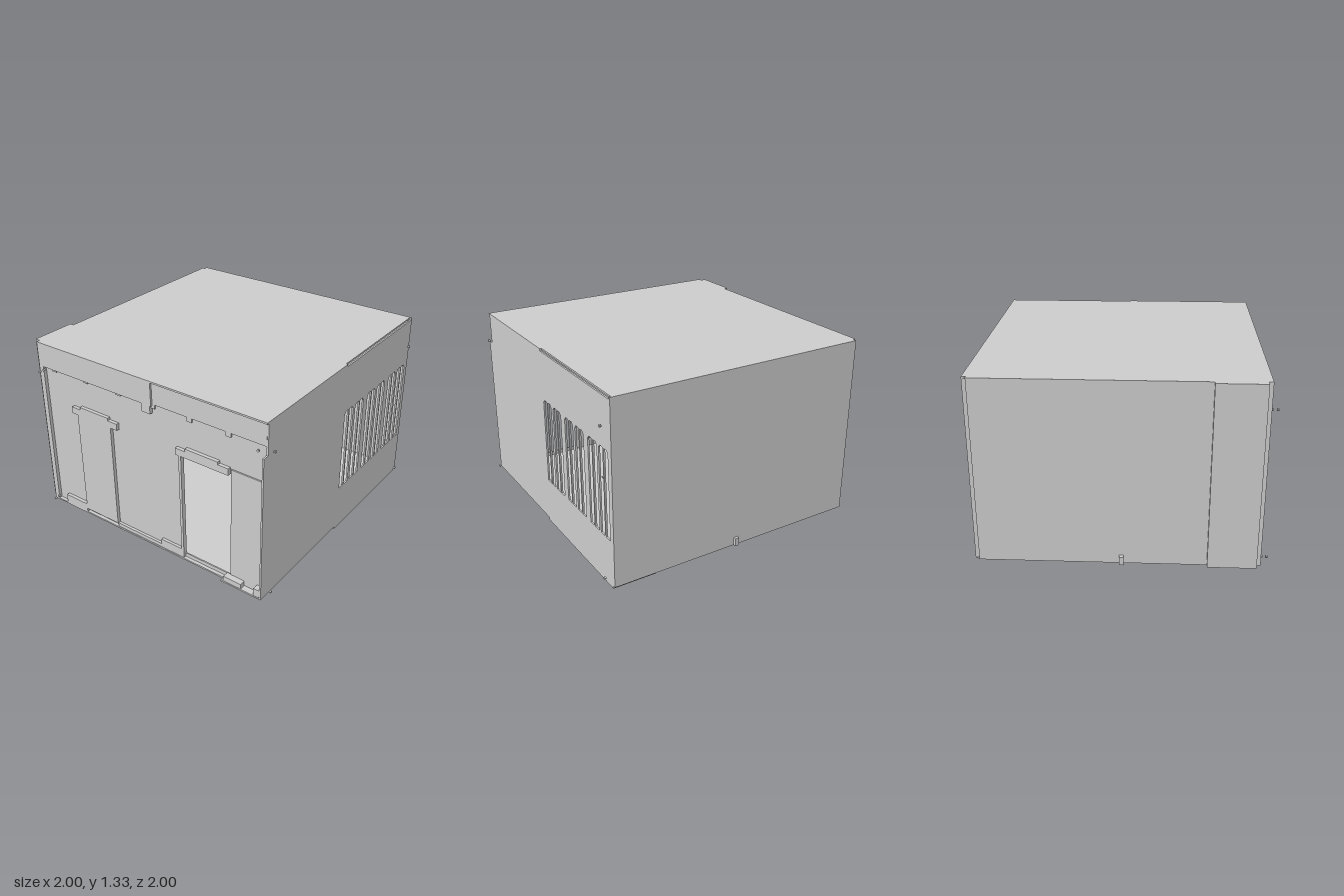
import * as THREE from 'three';

const metal = new THREE.MeshStandardMaterial({ color: 0xcccccc, flatShading: true, side: THREE.DoubleSide });

export function createModel() {
  const model = new THREE.Group();

  const add = (name, geometry) => {
    const mesh = new THREE.Mesh(geometry, metal);
    mesh.name = name;
    model.add(mesh);
    return mesh;
  };
  // Box given by its two limits on each axis
  const box = (name, x0, x1, y0, y1, z0, z1) => {
    const g = new THREE.BoxGeometry(x1 - x0, y1 - y0, z1 - z0);
    g.translate((x0 + x1) / 2, (y0 + y1) / 2, (z0 + z1) / 2);
    return add(name, g);
  };
  const outline = (points) => points.map(([a, b]) => new THREE.Vector2(a, b));
  // Sheet cut from an outline with holes
  const sheet = (points, holes, depth) => {
    const shape = new THREE.Shape(outline(points));
    holes.forEach((h) => shape.holes.push(new THREE.Path(outline(h))));
    return new THREE.ExtrudeGeometry(shape, { depth, bevelEnabled: false });
  };

  // Front plate with vent slots in pairs and a notched upper corner
  const slots = [];
  for (const x of [0.01, 0.16, 0.34, 0.49, 0.67, 0.815]) {
    for (const s of [0, 1]) {
      const a = x + s * 0.067, b = a + 0.053;
      const la = s ? 0.006 : 0.018, lb = s ? 0.018 : 0.006;
      slots.push([[a, 0.345], [b, 0.345], [b, 0.965 - lb], [b - lb, 0.967], [a + la, 0.967], [a, 0.965 - la]]);
    }
  }
  const front = sheet([[-0.98, 0.02], [0.97, 0.02], [0.97, 1.314], [0, 1.314], [0, 1.33],
    [-0.935, 1.33], [-0.935, 1.1], [-0.98, 1.1]], slots, 0.012);
  front.translate(0, 0, 0.948);
  add('frontPlate', front);

  // Top plate, cut back along half of its front edge and at the rear corners
  const top = sheet([[-0.95, -0.96], [0, -0.96], [0, -0.946], [0.98, -0.946], [0.98, 0.95],
    [0.95, 0.95], [0.95, 0.97], [-0.92, 0.97], [-0.92, 0.94], [-0.95, 0.94]], [], 0.012);
  top.rotateX(-Math.PI / 2).translate(0, 1.318, 0);
  add('topPlate', top);

  // Floor, wider beside the front corner
  const floor = sheet([[-0.98, -0.96], [0.97, -0.96], [0.97, 0.96], [-0.95, 0.96],
    [-0.95, -0.64], [-0.98, -0.64]], [[[-0.35, -0.36], [-0.32, -0.36], [-0.32, -0.34], [-0.35, -0.34]]], 0.012);
  floor.rotateX(-Math.PI / 2).translate(0, 0.02, 0);
  add('floor', floor);

  // Closed side, rear wall and rear corner folds
  box('leftSide', 0.968, 0.98, 0.02, 1.33, -0.95, 0.96);
  box('leftRearFold', 0.94, 0.97, 0.02, 1.32, -0.955, -0.945);
  box('rearWall', -0.92, 0.95, 0.02, 1.33, -0.97, -0.96);
  box('rearCoverStrip', -0.92, -0.59, 0.02, 1.33, -1, -0.968);
  box('rearCornerPost', -0.95, -0.91, 0.02, 1.33, -0.96, -0.92);

  // Open side: inset wall with a doorway
  const side = sheet([[-0.95, 0.02], [0.95, 0.02], [0.95, 1.16], [-0.95, 1.16]],
    [[[0.3, 0.06], [0.69, 0.06], [0.69, 0.86], [0.3, 0.86]]], 0.01);
  side.rotateY(-Math.PI / 2).translate(-0.915, 0, 0);
  add('rightSideWall', side);
  box('rightUpperFlangeRear', -0.95, -0.914, 1.15, 1.32, -0.94, 0.07);
  box('rightUpperFlangeFront', -0.936, -0.914, 1.16, 1.32, 0.07, 0.95);
  for (let i = 0; i < 6; i++) {
    const z = -0.85 + i * 0.3;
    box('flangeTab', -0.936, -0.92, 1.13, 1.16, z, z + 0.04);
  }
  box('flangeSeamTab', -0.95, -0.92, 1.09, 1.16, -0.01, 0.06);

  // Raised panels, headers and sill of the open side
  box('rearRaisedPanel', -0.95, -0.914, 0.06, 0.86, -0.62, -0.31);
  box('frontRaisedPanel', -0.935, -0.914, 0.03, 0.9, 0.69, 0.95);
  box('doorJamb', -0.935, -0.87, 0.06, 0.86, 0.69, 0.7);
  box('doorRearJamb', -0.945, -0.914, 0.06, 0.86, 0.28, 0.3);
  for (const z of [-0.67, 0.26]) {
    box('header', -0.95, -0.914, 0.86, 0.91, z, z + 0.42);
    box('headerStep', -0.95, -0.914, 0.91, 0.93, z + 0.08, z + 0.34);
  }
  box('rearSill', -0.95, -0.914, 0.03, 0.1, -0.83, -0.62);
  box('middleSill', -0.945, -0.914, 0.03, 0.06, -0.31, 0.1);
  box('middleSillStep', -0.945, -0.914, 0.03, 0.1, 0.1, 0.3);
  box('cornerBracket', -0.978, -0.93, 0.03, 0.07, 0.66, 0.8);
  box('cornerBracketEnd', -0.978, -0.93, 0.03, 0.09, 0.9, 0.945);

  // Ribs on the inside of the rear wall
  for (const y of [0.665, 0.71, 0.74, 0.78, 0.81, 0.86]) {
    for (const x of [0, 0.34]) box('innerRib', x, x + 0.28, y, y + 0.012, -0.96, -0.945);
  }

  // Thin pads under the floor: x0, x1, z0, z1
  for (const [x0, x1, z0, z1] of [[-0.02, 0.96, 0.64, 0.96], [0.31, 0.64, 0.03, 0.36],
    [0.31, 0.64, -0.33, 0], [-0.02, 0.31, -0.64, -0.33], [-0.36, -0.03, -0.64, -0.33]]) {
    box('floorPad', x0, x1, 0, 0.021, z0, z1);
  }

  // Small tabs at the foot of the side and rear walls
  box('sideTab', 0.975, 1, 0.02, 0.08, 0, 0.03);
  box('rearTab', -0.03, 0, 0.02, 0.08, -1, -0.965);

  // Screws standing off the front plate and the open side
  for (const y of [0.06, 1.13]) {
    for (const x of [-0.91, 0.905]) {
      const g = new THREE.CylinderGeometry(0.009, 0.009, 0.014, 10);
      g.rotateX(Math.PI / 2).translate(x, y, 0.99);
      add('frontScrew', g);
    }
    for (const [x, z] of [[-0.993, -0.91], [-0.958, -0.91], [-0.958, 0.905]]) {
      const g = new THREE.CylinderGeometry(0.009, 0.009, 0.014, 10);
      g.rotateZ(Math.PI / 2).translate(x, y, z);
      add('sideScrew', g);
    }
  }
  return model;
}
